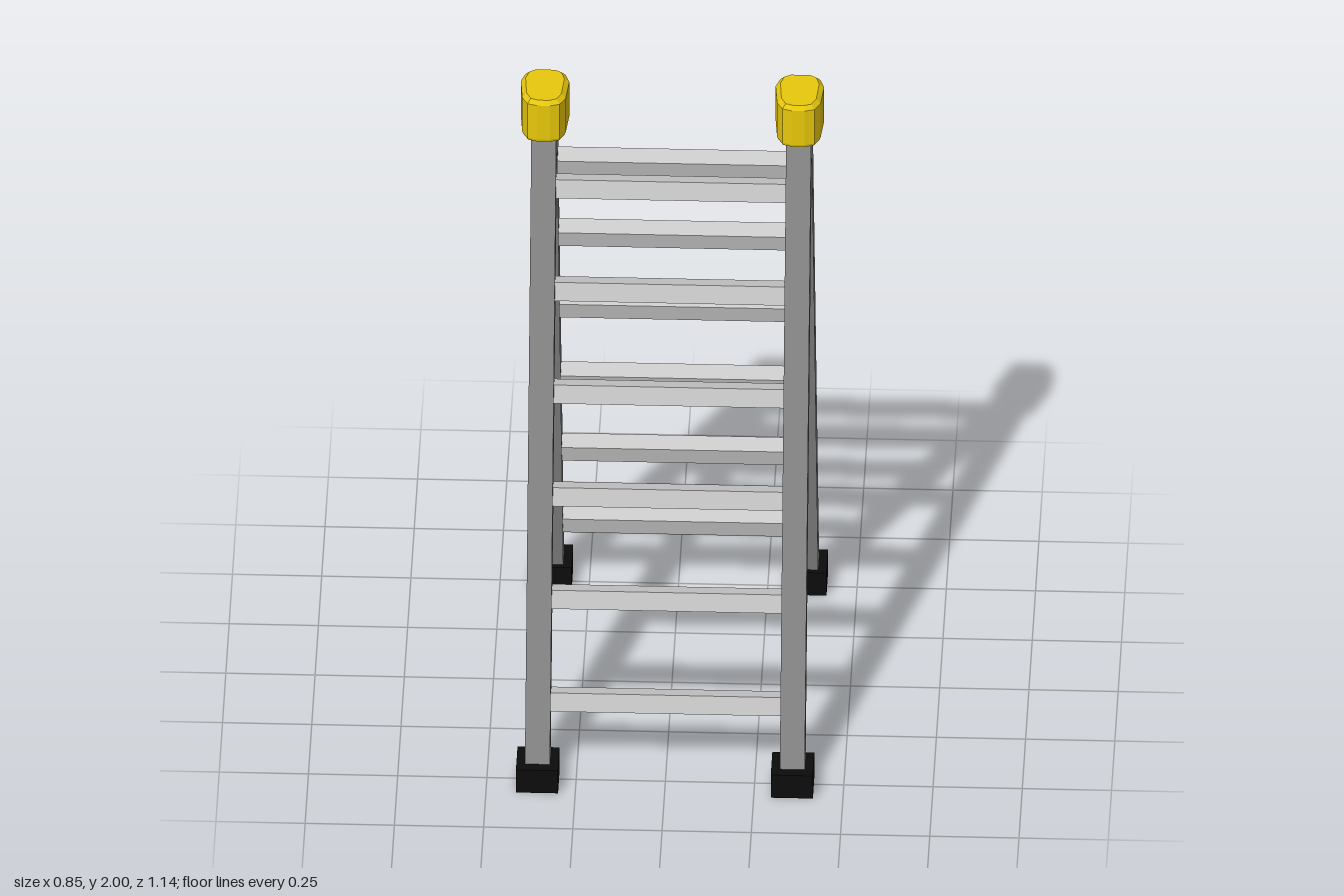
import * as THREE from 'three';

const TILT = THREE.MathUtils.degToRad(15);
const RAIL_X = 0.357;

const mat = (color) => new THREE.MeshStandardMaterial({ color, flatShading: true });

// Centre line of a leaning rail: distance from the middle at height y
const railZ = (y) => 0.504 - Math.tan(TILT) * (y - 0.08);

function add(parent, name, geometry, material, x, y, z) {
  const mesh = new THREE.Mesh(geometry, material);
  mesh.name = name;
  mesh.position.set(x, y, z);
  parent.add(mesh);
  return mesh;
}

// Faceted oval cap, a little narrower towards the front, with a bevelled top
function capGeometry() {
  const half = [[0.034, 0.087], [0.056, 0.074], [0.068, 0.038], [0.061, -0.045], [0.045, -0.076], [0.018, -0.085]];
  const outline = [...half, ...half.map(([x, y]) => [-x, y]).reverse()];
  const ring = (s, y) => outline.map(([x, z]) => new THREE.Vector3(x * s, y, -z * (s + 1) / 2));
  const rings = [ring(0.95, 0), ring(1, 0.008), ring(1, 0.122), ring(0.8, 0.135)];
  const positions = [];
  const tri = (...points) => points.forEach((p) => positions.push(p.x, p.y, p.z));
  const n = outline.length;
  const bottom = new THREE.Vector3(0, 0, 0);
  const top = new THREE.Vector3(0, 0.135, 0);
  for (let i = 0; i < n; i++) {
    const j = (i + 1) % n;
    for (let k = 0; k < rings.length - 1; k++) {
      const [a, b, c, d] = [rings[k][i], rings[k][j], rings[k + 1][j], rings[k + 1][i]];
      // outline runs clockwise in its own plane, anticlockwise seen from above after the z flip
      tri(a, c, d);
      tri(a, b, c);
    }
    tri(top, rings[3][i], rings[3][j]);
    tri(bottom, rings[0][j], rings[0][i]);
  }
  const g = new THREE.BufferGeometry();
  g.setAttribute('position', new THREE.Float32BufferAttribute(positions, 3));
  // make sure the faces point outwards
  const p = g.attributes.position;
  const [a, b, c] = [0, 1, 2].map((i) => new THREE.Vector3().fromBufferAttribute(p, i));
  const normal = b.clone().sub(a).cross(c.clone().sub(a));
  if (normal.x * a.x + normal.z * a.z < 0) {
    for (let i = 0; i < p.count; i += 3) {
      const u = new THREE.Vector3().fromBufferAttribute(p, i + 1);
      const v = new THREE.Vector3().fromBufferAttribute(p, i + 2);
      p.setXYZ(i + 1, v.x, v.y, v.z);
      p.setXYZ(i + 2, u.x, u.y, u.z);
    }
  }
  g.computeVertexNormals();
  return g;
}

// One leaning ladder section, facing +z
function ladderSection(name, mats) {
  const section = new THREE.Group();
  section.name = name;
  const bottom = 0.06, top = 1.93;
  const rail = new THREE.BoxGeometry(0.07, (top - bottom) / Math.cos(TILT), 0.07);
  const foot = new THREE.BoxGeometry(0.118, 0.076, 0.118);
  const rung = new THREE.BoxGeometry(2 * RAIL_X - 0.04, 0.055, 0.055);

  for (const [side, s] of [['left', 1], ['right', -1]]) {
    const mid = (top + bottom) / 2;
    add(section, side + 'Rail', rail, mats.rail, s * RAIL_X, mid, railZ(mid)).rotation.x = -TILT;
    add(section, side + 'Foot', foot, mats.foot, s * RAIL_X, 0.038, 0.513);
  }
  for (let i = 0; i < 6; i++) {
    const y = 0.24 + i * 0.293;
    add(section, 'rung' + (i + 1), rung, mats.rung, 0, y, railZ(y) - 0.004).rotation.x = -TILT;
  }
  return section;
}

export function createModel() {
  const model = new THREE.Group();
  model.name = 'stepladder';
  const mats = { rail: mat(0x888888), rung: mat(0xcccccc), foot: mat(0x0c0c0c), cap: mat(0xe8c80c) };

  // Two identical sections leaning against each other
  model.add(ladderSection('frontLadder', mats));
  const back = ladderSection('backLadder', mats);
  back.rotation.y = Math.PI;
  model.add(back);

  // Hinge caps
  const cap = capGeometry();
  add(model, 'leftCap', cap, mats.cap, RAIL_X, 1.865, 0);
  add(model, 'rightCap', cap, mats.cap, -RAIL_X, 1.865, 0);
  return model;
}
